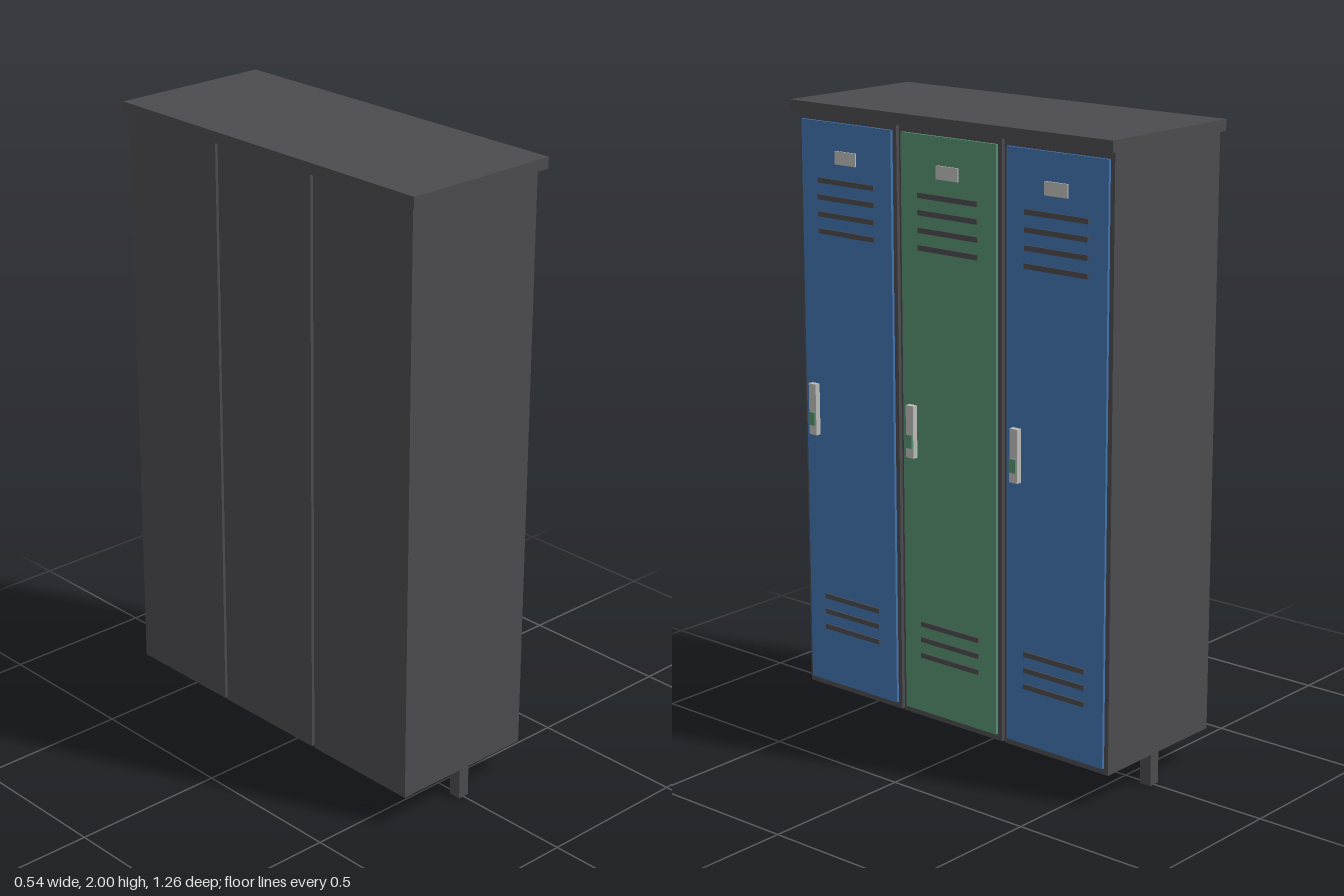
import * as THREE from 'three';

const mat = (name, color) => {
  const m = new THREE.MeshStandardMaterial({ color });
  m.name = name;
  return m;
};

export function createModel() {
  const grey = mat('dark grey steel', 0x4c4b4f);
  const blue = mat('blue paint', 0x4273af);
  const green = mat('green paint', 0x579172);
  const silver = mat('pale metal', 0xbcbcba);

  // Box given by its min and max on each axis
  const box = (parent, name, material, [x0, x1], [y0, y1], [z0, z1]) => {
    const mesh = new THREE.Mesh(new THREE.BoxGeometry(x1 - x0, y1 - y0, z1 - z0), material);
    mesh.position.set((x0 + x1) / 2, (y0 + y1) / 2, (z0 + z1) / 2);
    mesh.name = name;
    parent.add(mesh);
  };

  // One locker, with its door facing +x
  const makeLocker = (paint) => {
    const g = new THREE.Group();
    box(g, 'cabinet', grey, [-0.259, 0.235], [0.105, 1.965], [-0.201, 0.201]);
    box(g, 'door', paint, [0.235, 0.244], [0.125, 1.942], [-0.186, 0.186]);

    // Vent slats near the top and bottom of the door
    for (const y of [1.76, 1.708, 1.655, 1.602, 0.415, 0.364, 0.312]) {
      box(g, 'ventSlat', grey, [0.242, 0.249], [y - 0.008, y + 0.008], [-0.117, 0.117]);
    }

    box(g, 'labelPlate', silver, [0.242, 0.249], [1.816, 1.857], [-0.043, 0.043]);

    // Handle with its coloured latch
    box(g, 'handle', silver, [0.242, 0.262], [0.948, 1.113], [0.13, 0.16]);
    box(g, 'latch', green, [0.26, 0.268], [0.98, 1.022], [0.132, 0.158]);

    for (const s of [-1, 1]) {
      box(g, 'foot', grey, [-0.019, 0.019], [0, 0.105], [s * 0.176 - 0.02, s * 0.176 + 0.02]);
    }
    return g;
  };

  const model = new THREE.Group();
  model.name = 'lockerRow';
  [blue, green, blue].forEach((paint, i) => {
    const locker = makeLocker(paint);
    locker.name = ['leftLocker', 'middleLocker', 'rightLocker'][i];
    locker.position.z = (1 - i) * 0.413;
    model.add(locker);
  });

  // Shared top slab
  box(model, 'top', grey, [-0.269, 0.264], [1.965, 2], [-0.628, 0.628]);
  return model;
}
